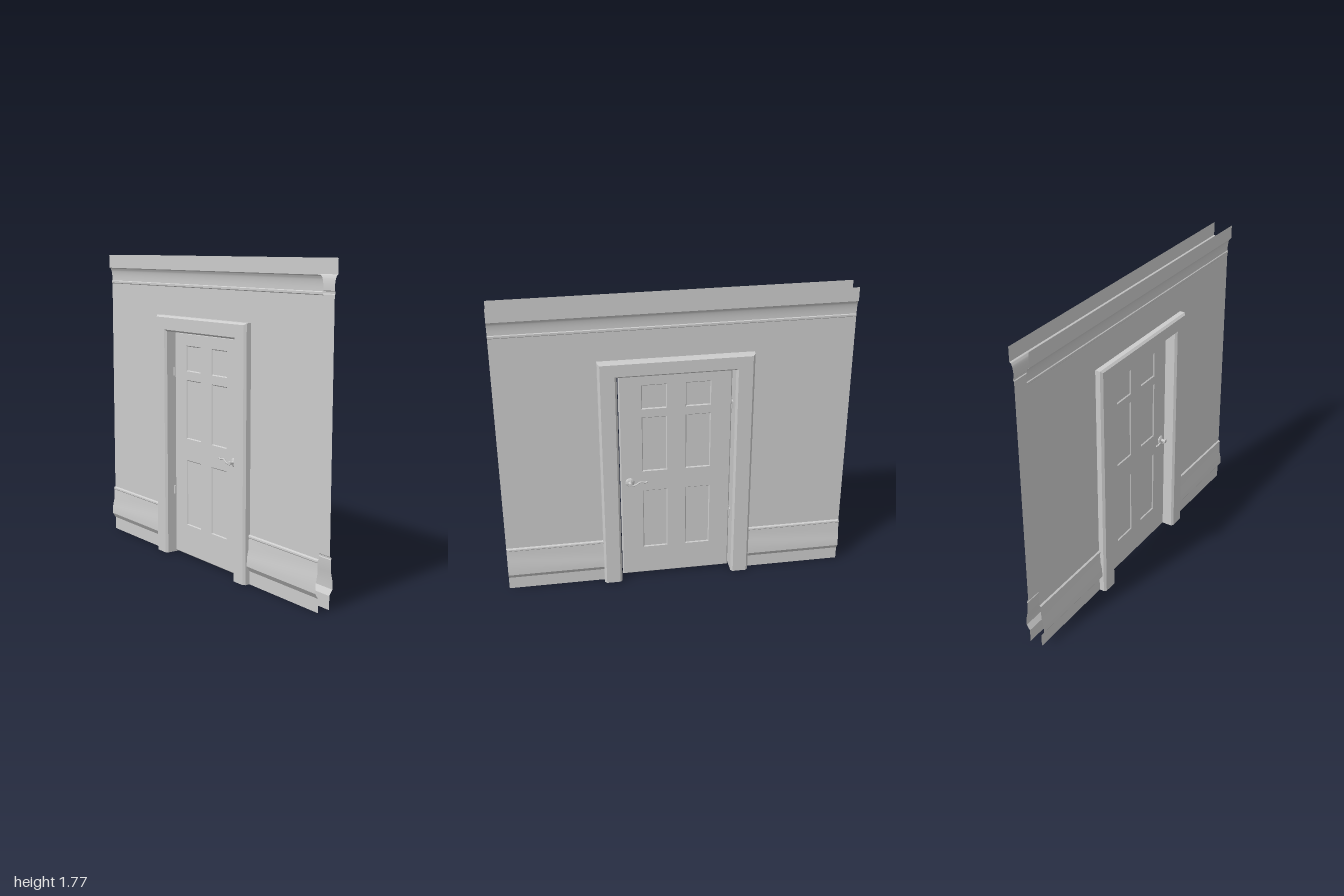
import * as THREE from 'three';
import { toCreasedNormals } from 'three/addons/utils/BufferGeometryUtils.js';

const mat = new THREE.MeshStandardMaterial({ color: 0xcccccc });
const sheetMat = new THREE.MeshStandardMaterial({ color: 0xcccccc, side: THREE.DoubleSide });

function add(parent, name, geometry, material = mat) {
  const mesh = new THREE.Mesh(geometry, material);
  mesh.name = name;
  parent.add(mesh);
  return mesh;
}

// Skin between consecutive rows of points
function loft(rows) {
  const pos = [], idx = [], n = rows[0].length;
  rows.forEach(r => r.forEach(p => pos.push(...p)));
  for (let i = 0; i < rows.length - 1; i++) {
    for (let j = 0; j < n - 1; j++) {
      const a = i * n + j, b = a + n;
      idx.push(a, b, b + 1, a, b + 1, a + 1);
    }
  }
  const g = new THREE.BufferGeometry();
  g.setAttribute('position', new THREE.Float32BufferAttribute(pos, 3));
  g.setIndex(idx);
  return toCreasedNormals(g, 0.45);
}

// Wall strip with a moulded [y, z] profile, from x0 to x1
const strip = (profile, x0, x1) =>
  loft([x0, x1].map(x => profile.map(([y, z]) => [x, y, z])));

const HEAD = 1.39;
const lower = [
  [0, 0.038], [0.075, 0.038], [0.105, 0.058], [0.155, 0.056], [0.2, 0.046],
  [0.262, 0.044], [0.266, 0.047], [0.275, 0.046], [0.281, 0.037], [HEAD, 0.037],
];
const upper = [[HEAD, 0.037], [1.597, 0.037], [1.601, 0.041], [1.612, 0.041], [1.616, 0.037]];
for (let i = 0; i <= 8; i++) {
  const t = (i / 8) * Math.PI / 2;
  upper.push([1.625 + 0.068 * Math.sin(t), 0.037 + 0.018 * (1 - Math.cos(t))]);
}
upper.push([1.695, 0.058], [1.775, 0.058]);

// Chamfered section swept up one side, across the head and down the other
function frameGeometry() {
  const c = 0.012, w = 0.105, h = 0.078;
  const section = [
    [0, h - c], [c, h], [w - c, h], [w, h - c],
    [w, c - h], [w - c, -h], [c, -h], [0, c - h], [0, h - c],
  ];
  const ring = (side, top) => section.map(([d, z]) =>
    [side * (0.33 + d), top ? 1.338 + d * 0.876 : 0, z]);
  return loft([ring(-1, false), ring(-1, true), ring(1, true), ring(1, false)]);
}

function rectangle(Type, x0, y0, x1, y1) {
  const p = new Type();
  p.moveTo(x0, y0);
  p.lineTo(x1, y0);
  p.lineTo(x1, y1);
  p.lineTo(x0, y1);
  p.closePath();
  return p;
}

// Six panel door leaf: bevelled openings over a thinner core
function buildDoor() {
  const door = new THREE.Group();
  door.name = 'door';
  const face = rectangle(THREE.Shape, -0.321, 0.01, 0.319, 1.334);
  for (const x of [-0.196, 0.054]) {
    for (const [y0, y1] of [[0.2, 0.58], [0.72, 1.055], [1.118, 1.255]]) {
      face.holes.push(rectangle(THREE.Path, x, y0, x + 0.132, y1));
    }
  }
  const leaf = new THREE.ExtrudeGeometry(face, {
    depth: 0.018, bevelEnabled: true, bevelThickness: 0.007,
    bevelSize: 0.006, bevelOffset: -0.006, bevelSegments: 1,
  });
  leaf.translate(0, 0, -0.009);
  add(door, 'stilesAndRails', leaf);
  const core = add(door, 'recessedPanels', new THREE.BoxGeometry(0.638, 1.322, 0.02));
  core.position.set(-0.001, 0.672, 0);

  // Hinge knuckles
  for (const y of [0.385, 1.1]) {
    const hinge = add(door, 'hinge', new THREE.CylinderGeometry(0.007, 0.007, 0.05, 12));
    hinge.position.set(-0.325, y, 0.018);
    const leafPlate = add(door, 'hingePlate', new THREE.BoxGeometry(0.012, 0.045, 0.036));
    leafPlate.position.set(-0.325, y, 0);
  }
  return door;
}

// Rosette, spindle and wavy lever
function buildHandle() {
  const handle = new THREE.Group();
  handle.name = 'handle';
  const rose = [[0, 0.016], [0.026, 0.016], [0.026, 0.02], [0.021, 0.025], [0.011, 0.028],
    [0.009, 0.032], [0.009, 0.046], [0.012, 0.05], [0.011, 0.055], [0, 0.057]];
  const lathe = new THREE.LatheGeometry(rose.map(([r, y]) => new THREE.Vector2(r, y)), 24);
  lathe.rotateX(Math.PI / 2);
  add(handle, 'rosette', toCreasedNormals(lathe, 0.7)).position.set(0.266, 0.65, 0);
  const points = [[0.27, 0.648], [0.245, 0.645], [0.228, 0.652], [0.212, 0.663],
    [0.195, 0.663], [0.18, 0.659], [0.171, 0.663]];
  const path = new THREE.CatmullRomCurve3(points.map(([x, y]) => new THREE.Vector3(x, y, 0.05)));
  add(handle, 'lever', new THREE.TubeGeometry(path, 32, 0.005, 10));
  add(handle, 'leverTip', new THREE.SphereGeometry(0.006, 12, 8)).position.set(0.171, 0.663, 0.05);
  return handle;
}

export function createModel() {
  const model = new THREE.Group();
  model.name = 'wallWithDoor';

  // Both faces of the wall, the back one mirrored
  for (const s of [1, -1]) {
    const side = new THREE.Group();
    side.name = s > 0 ? 'frontSide' : 'backSide';
    add(side, 'wallRight', strip(lower, -1, -0.38), sheetMat);
    add(side, 'wallLeft', strip(lower, 0.38, 1), sheetMat);
    add(side, 'wallAboveDoor', strip(upper, -1, 1), sheetMat);
    side.add(buildHandle());
    side.scale.z = s;
    model.add(side);
  }

  add(model, 'doorFrame', frameGeometry(), sheetMat);
  model.add(buildDoor());
  return model;
}
